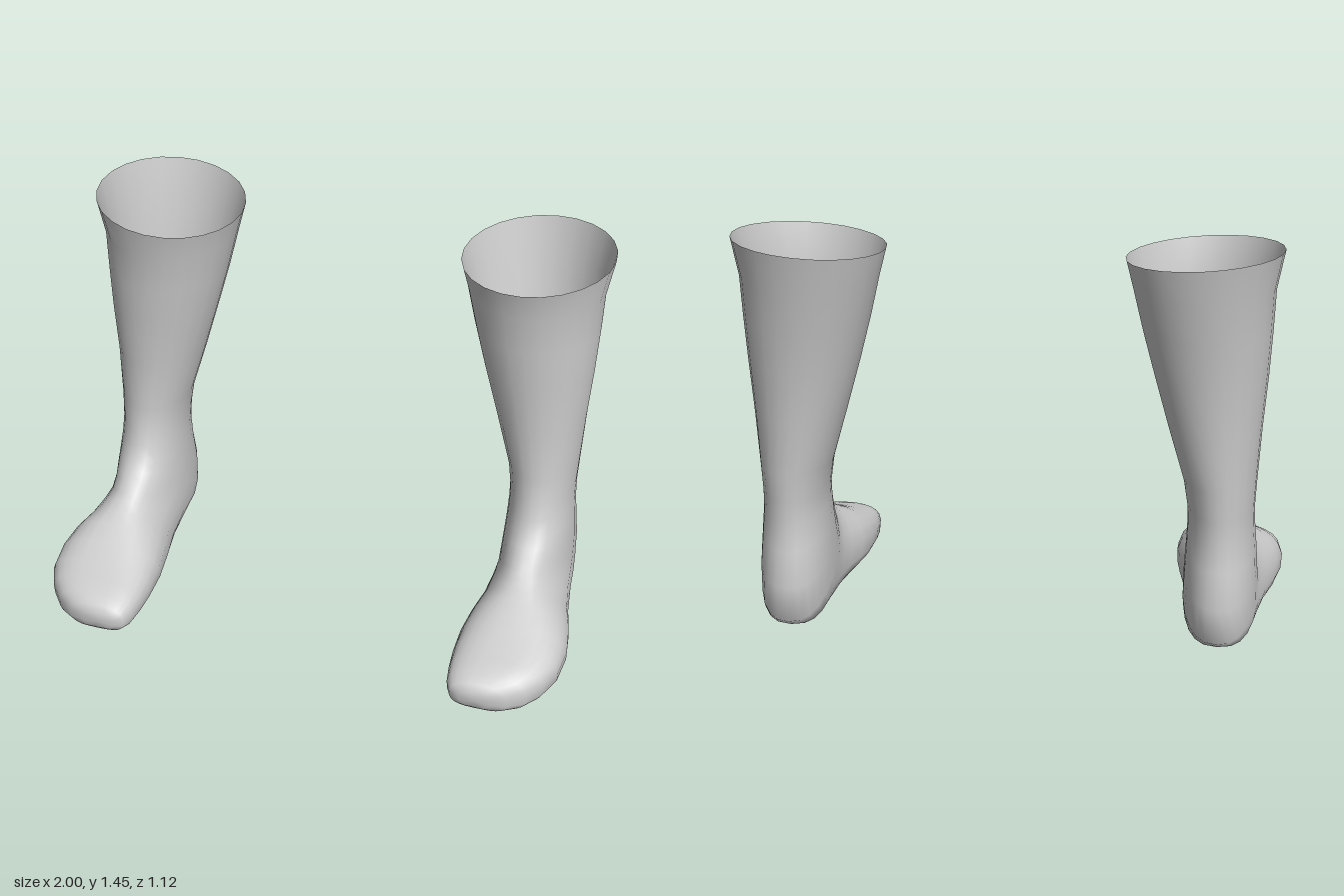
import * as THREE from 'three';

const SIDES = 24;

// Cross-sections from the cuff, down the leg, turning at the ankle, out to the toe:
// [front/top z, y, back/sole z, y, inner x, outer x, narrowing toward top, squareness]
const CUFF_AND_LEG = [
  [0, 1.42, -0.56, 1.437, 0.42, 0.97, 0, 1],
  [-0.028, 1.31, -0.53, 1.31, 0.445, 0.943, 0, 1],
  [-0.042, 1.16, -0.5, 1.16, 0.48, 0.937, 0, 1],
  [-0.055, 1.0, -0.47, 1.0, 0.522, 0.928, 0, 1],
  [-0.07, 0.8, -0.447, 0.8, 0.578, 0.912, 0, 1],
  [-0.066, 0.6, -0.432, 0.6, 0.637, 0.9, 0, 1],
  [-0.05, 0.51, -0.427, 0.49, 0.653, 0.895, 0, 1],
];
const HEEL = [
  [-0.03, 0.45, -0.423, 0.41, 0.655, 0.897, 0, 1],
  [-0.008, 0.4, -0.435, 0.3, 0.652, 0.904, 0, 0.95],
  [0.03, 0.365, -0.463, 0.17, 0.647, 0.91, 0.02, 0.9],
  [0.06, 0.345, -0.448, 0.035, 0.643, 0.913, 0.05, 0.85],
  [0.1, 0.315, -0.39, 0.0, 0.643, 0.918, 0.1, 0.75],
];
const FOOT = [
  [0.13, 0.295, -0.25, 0.004, 0.642, 0.928, 0.12, 0.65],
  [0.17, 0.27, -0.08, 0.004, 0.634, 0.948, 0.12, 0.6],
  [0.22, 0.247, 0.08, 0, 0.612, 0.98, 0.1, 0.58],
  [0.29, 0.213, 0.22, 0, 0.597, 0.998, 0.08, 0.55],
  [0.37, 0.18, 0.35, 0, 0.596, 0.99, 0.05, 0.55],
  [0.44, 0.158, 0.44, 0, 0.602, 0.955, 0.03, 0.55],
  [0.5, 0.14, 0.505, 0, 0.612, 0.905, 0.02, 0.58],
  [0.54, 0.115, 0.542, 0.006, 0.632, 0.845, 0, 0.65],
  [0.557, 0.09, 0.553, 0.02, 0.67, 0.79, 0, 0.8],
];

// One open-topped sock skin; side is +1 for left, -1 for right
function sockGeometry(side) {
  const rings = [...CUFF_AND_LEG, ...HEEL, ...FOOT];
  const positions = [];
  const index = [];
  const tri = (a, b, c) => (side > 0 ? index.push(a, b, c) : index.push(a, c, b));

  rings.forEach(([fz, fy, bz, by, xi, xo, taper, square], i) => {
    for (let j = 0; j < SIDES; j++) {
      const t = (j / SIDES) * Math.PI * 2;
      const c = Math.cos(t), s = Math.sin(t);
      // the sole half is squarer than the top half
      const e = c < 0 ? square : (1 + square) / 2;
      const u = Math.sign(c) * Math.abs(c) ** e;
      const v = Math.sign(s) * Math.abs(s) ** e;
      const dx = v * ((xo - xi) / 2) * (1 - taper * Math.max(u, 0) * 2);
      const tilt = i === 0 ? dx * 0.08 : 0; // cuff slopes up toward the outside
      positions.push(
        side * ((xi + xo) / 2 + dx),
        (fy + by) / 2 + (u * (fy - by)) / 2 + tilt,
        (fz + bz) / 2 + (u * (fz - bz)) / 2,
      );
    }
  });

  for (let i = 0; i < rings.length - 1; i++) {
    for (let j = 0; j < SIDES; j++) {
      const k = (j + 1) % SIDES;
      const a = i * SIDES + j, b = i * SIDES + k;
      tri(a, a + SIDES, b);
      tri(b, a + SIDES, b + SIDES);
    }
  }

  // rounded toe end
  const last = (rings.length - 1) * SIDES;
  const tip = positions.length / 3;
  positions.push(side * 0.73, 0.055, 0.56);
  for (let j = 0; j < SIDES; j++) tri(last + j, tip, last + ((j + 1) % SIDES));

  const geometry = new THREE.BufferGeometry();
  geometry.setAttribute('position', new THREE.Float32BufferAttribute(positions, 3));
  geometry.setIndex(index);
  geometry.computeVertexNormals();
  return geometry;
}

export function createModel() {
  const group = new THREE.Group();
  group.name = 'socks';
  const fabric = new THREE.MeshStandardMaterial({ color: 0xcccccc, side: THREE.DoubleSide });
  fabric.name = 'light grey fabric';

  for (const [name, side] of [['leftSock', 1], ['rightSock', -1]]) {
    const sock = new THREE.Mesh(sockGeometry(side), fabric);
    sock.name = name;
    group.add(sock);
  }
  return group;
}
